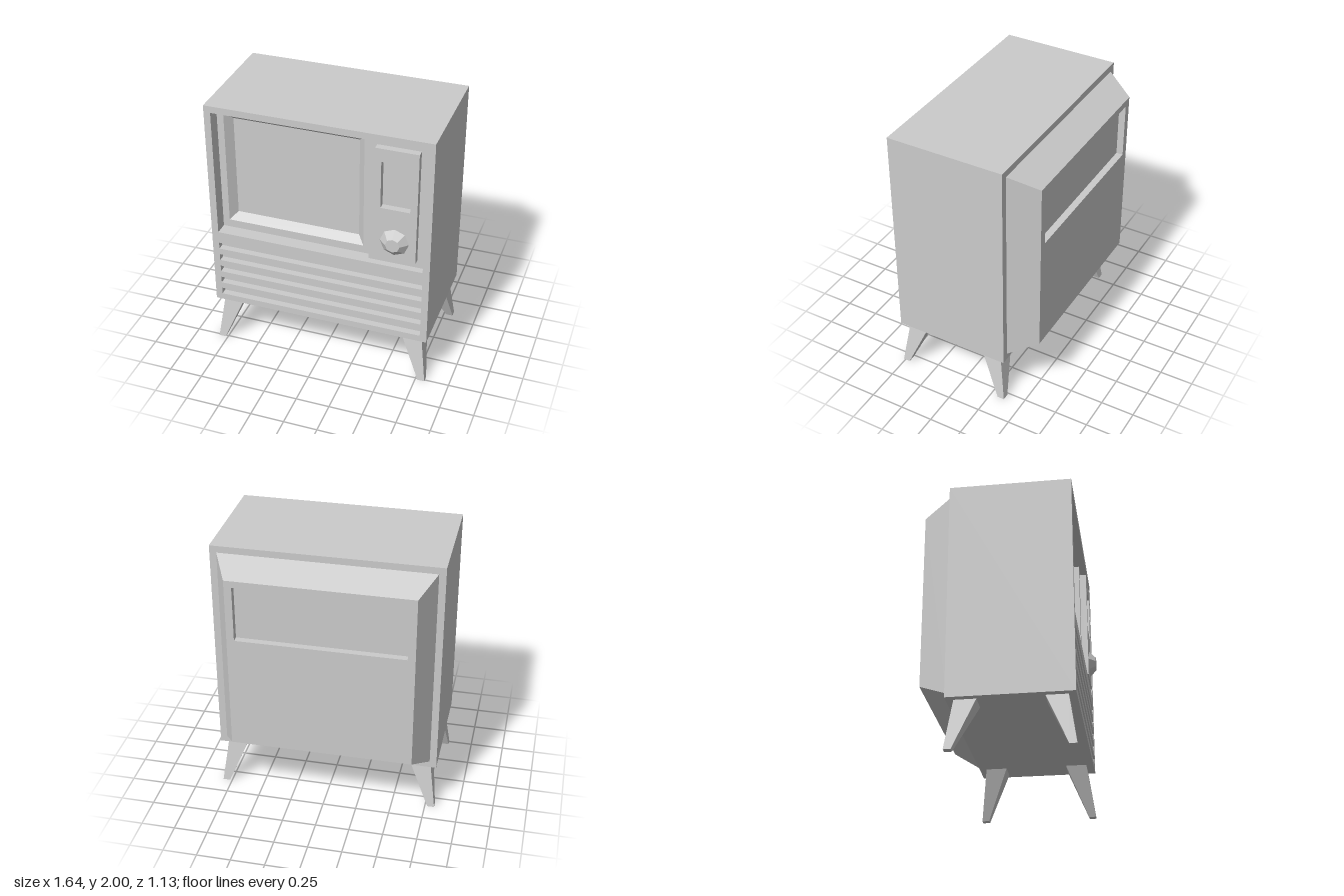
import * as THREE from 'three';

const material = new THREE.MeshStandardMaterial({ color: 0xcccccc, flatShading: true });

// Rectangles are [x0, x1, y0, y1]
const corners = ([x0, x1, y0, y1]) => [[x0, y0], [x1, y0], [x1, y1], [x0, y1]];

function add(parent, name, geometry) {
  const mesh = new THREE.Mesh(geometry, material);
  mesh.name = name;
  parent.add(mesh);
  return mesh;
}

// Four walls joining two rectangles: rising z faces outward, falling z faces inward
function walls(a, za, b, zb) {
  const A = corners(a), B = corners(b), pos = [];
  for (let i = 0; i < 4; i++) {
    const j = (i + 1) % 4;
    const p = [...A[i], za], q = [...A[j], za], r = [...B[j], zb], s = [...B[i], zb];
    pos.push(...p, ...q, ...r, ...p, ...r, ...s);
  }
  const g = new THREE.BufferGeometry();
  g.setAttribute('position', new THREE.Float32BufferAttribute(pos, 3));
  g.computeVertexNormals();
  return g;
}

// Flat rectangle with rectangular holes, facing the front or (symmetric ones) the back
function plate(rect, z, holes = [], back = false) {
  const toPoints = r => corners(r).map(([x, y]) => new THREE.Vector2(x, y));
  const shape = new THREE.Shape(toPoints(rect));
  shape.holes = holes.map(h => new THREE.Path(toPoints(h).reverse()));
  const g = new THREE.ShapeGeometry(shape);
  if (back) g.rotateY(Math.PI);
  return g.translate(0, 0, z);
}

export function createModel() {
  const model = new THREE.Group();
  model.name = 'television';
  const group = name => {
    const g = new THREE.Group();
    g.name = name;
    model.add(g);
    return g;
  };

  const FRONT = 0.515, STEP = 0.465, DEEP = 0.415, GLASS = 0.36, BACK = -0.36, REAR = -0.565;
  const body = [-0.82, 0.82, 0.365, 2];
  const recess = [-0.77, 0.77, 0.97, 1.95];
  const slots = [];
  for (let i = 0; i < 5; i++) slots.push([-0.77, 0.77, 0.415 + i * 0.1025, 0.467 + i * 0.1025]);

  // Cabinet
  const cabinet = group('cabinet');
  add(cabinet, 'cabinetSides', walls(body, BACK, body, FRONT));
  add(cabinet, 'cabinetFront', plate(body, FRONT, [recess, ...slots]));
  add(cabinet, 'recessWalls', walls(recess, FRONT, recess, STEP));

  // Speaker grille slots
  const grille = group('speakerGrille');
  for (const s of slots) {
    add(grille, 'slotWalls', walls(s, FRONT, s, STEP));
    add(grille, 'slotFloor', plate(s, STEP));
  }

  // Screen with sloped bezel
  const screenBay = [-0.77, 0.36, 0.97, 1.95];
  const opening = [-0.72, 0.305, 1.03, 1.9];
  const glass = [-0.67, 0.255, 1.08, 1.85];
  const screen = group('screen');
  add(screen, 'screenBayWalls', walls(screenBay, STEP, screenBay, DEEP));
  add(screen, 'screenSurround', plate(screenBay, DEEP, [opening]));
  add(screen, 'screenBezel', walls(opening, DEEP, glass, GLASS));
  add(screen, 'screenGlass', plate(glass, GLASS));

  // Raised control panel with dial window
  const panelBay = [0.36, 0.77, 0.97, 1.95];
  const panel = [0.41, 0.715, 1.03, 1.9];
  const dial = [0.455, 0.665, 1.44, 1.8];
  const controls = group('controlPanel');
  add(controls, 'panelBay', plate(panelBay, STEP, [panel]));
  add(controls, 'panelSides', walls(panel, STEP, panel, FRONT));
  add(controls, 'panelFront', plate(panel, FRONT, [dial]));
  add(controls, 'dialWalls', walls(dial, FRONT, dial, STEP));
  add(controls, 'dialFloor', plate(dial, STEP));

  // Eight-sided knob
  const knob = add(controls, 'knob', new THREE.CylinderGeometry(0.052, 0.105, 0.05, 8).rotateX(Math.PI / 2));
  knob.position.set(0.56, 1.18, 0.54);

  // Tapered back cover with recessed vent
  const coverBase = [-0.77, 0.77, 0.415, 1.95];
  const coverEnd = [-0.665, 0.665, 0.52, 1.85];
  const vent = [-0.61, 0.61, 1.385, 1.8];
  const cover = group('backCover');
  add(cover, 'cabinetBack', plate(body, BACK, [coverBase], true));
  add(cover, 'coverSides', walls(coverEnd, REAR, coverBase, BACK));
  add(cover, 'coverFace', plate(coverEnd, REAR, [vent], true));
  add(cover, 'ventWalls', walls(vent, REAR + 0.05, vent, REAR));
  add(cover, 'ventFloor', plate(vent, REAR + 0.05, [], true));

  // Splayed, tapered legs
  const legs = group('legs');
  legs.position.z = 0.0775;
  for (const sx of [-1, 1]) for (const sz of [-1, 1]) {
    const g = new THREE.BoxGeometry(1, 1, 1);
    const p = g.attributes.position;
    for (let i = 0; i < p.count; i++) {
      const top = p.getY(i) > 0;
      const width = top ? 0.155 : 0.052;
      p.setXYZ(i,
        sx * (top ? 0.6925 : 0.794) + p.getX(i) * width,
        top ? 0.365 : 0,
        sz * (top ? 0.307 : 0.4115) + p.getZ(i) * width);
    }
    g.computeVertexNormals();
    add(legs, (sz > 0 ? 'front' : 'back') + (sx > 0 ? 'Left' : 'Right') + 'Leg', g);
  }

  return model;
}
